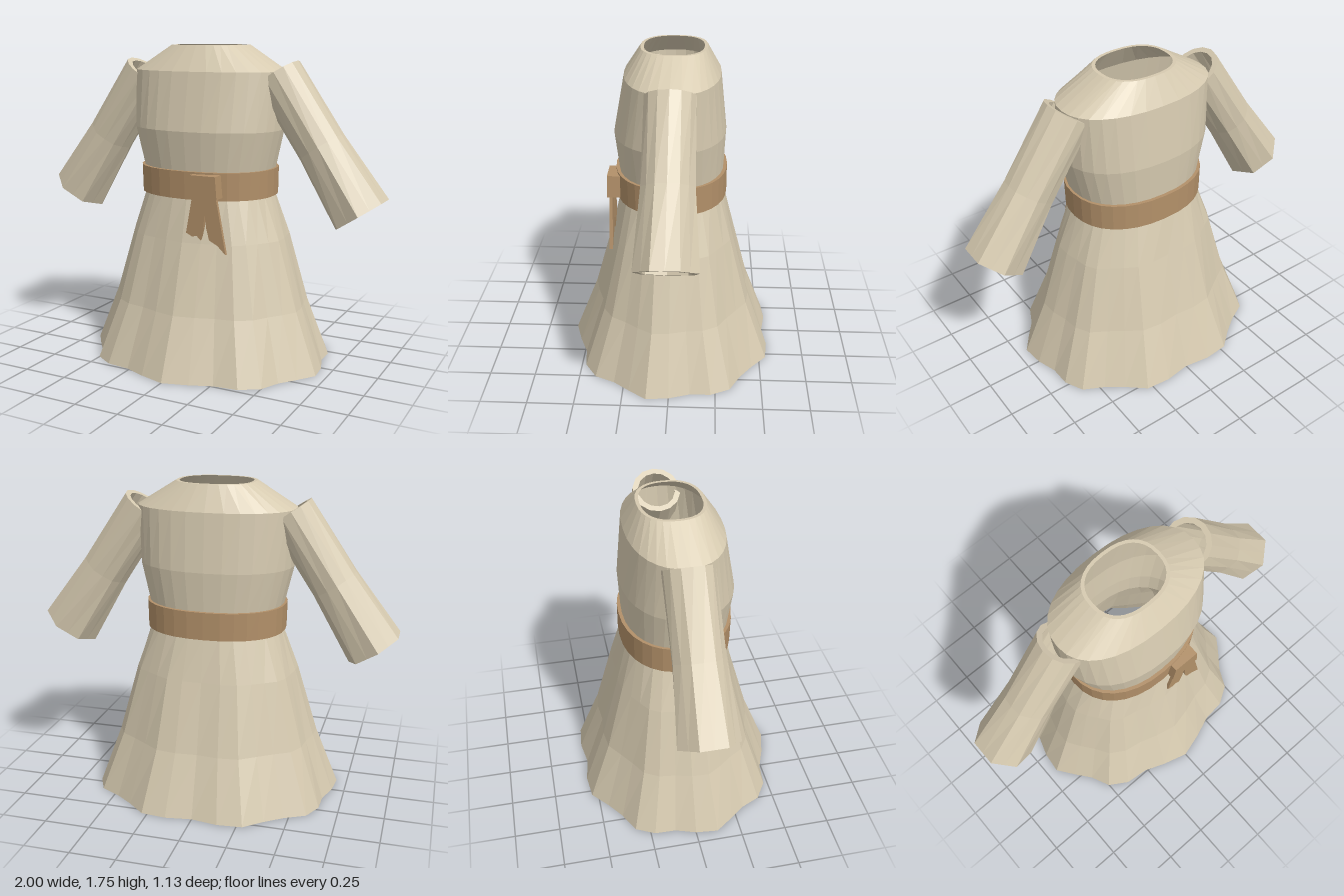
import * as THREE from 'three';

const V = (x, y, z) => new THREE.Vector3(x, y, z);

// Joins rings of points into a closed shell with flat facets: outer wall up, inner wall back down.
function loft(rings) {
  const pos = [];
  const n = rings[0].length;
  rings.forEach((ring, i) => {
    const next = rings[(i + 1) % rings.length];
    for (let j = 0; j < n; j++) {
      const k = (j + 1) % n;
      for (const p of [ring[j], next[j], ring[k], ring[k], next[j], next[k]]) pos.push(p.x, p.y, p.z);
    }
  });
  const geo = new THREE.BufferGeometry();
  geo.setAttribute('position', new THREE.Float32BufferAttribute(pos, 3));
  geo.computeVertexNormals();
  return geo;
}

// Rounded oval ring with optional cloth folds.
function oval({ y, x, z, dz = 0, fold = 0, n = 2.25 }, inset = 0, lift = 0) {
  const pts = [];
  for (let j = 0; j < 32; j++) {
    const t = (j / 32) * Math.PI * 2;
    const c = Math.cos(t), s = Math.sin(t);
    const wave = fold * Math.cos(9 * (t - Math.PI / 2)) - inset;
    const px = Math.sign(c) * Math.abs(c) ** (2 / n) * x + c * wave;
    const pz = Math.sign(s) * Math.abs(s) ** (2 / n) * z + s * wave;
    pts.push(V(px, y + lift, pz + dz));
  }
  return pts;
}

const shell = (rings, thick) => loft([
  ...rings.map(r => oval(r)),
  ...[...rings].reverse().map(r => oval(r, thick)),
]);

// Sleeve ring: round at the shoulder, seven-sided at the cuff.
function sleeveRing({ s, r, flat }, inset = 0) {
  const pts = [];
  for (let k = 0; k < 14; k++) {
    const a = (k / 14) * Math.PI * 2;
    const rad = (r - inset) * (k % 2 ? 1 : flat);
    const u = rad * Math.cos(a);
    pts.push(V(0.40 + 0.555 * s + 0.832 * u, 1.605 - 0.832 * s + 0.555 * u, rad * Math.sin(a)));
  }
  return pts;
}

export function createModel() {
  const group = new THREE.Group();
  const cloth = new THREE.MeshStandardMaterial({ color: 0xd6cab0 });
  cloth.name = 'linen';
  const leather = new THREE.MeshStandardMaterial({ color: 0xb29069 });
  leather.name = 'tan belt';

  const add = (name, geo, mat) => {
    const mesh = new THREE.Mesh(geo, mat);
    mesh.name = name;
    group.add(mesh);
    return mesh;
  };

  // Bodice and skirt in one hollow shell
  const body = [
    { y: 0.01, x: 0.68, z: 0.555, fold: 0.026, n: 2.1 },
    { y: 0.34, x: 0.56, z: 0.435, fold: 0.015, n: 2.1 },
    { y: 0.72, x: 0.45, z: 0.335, fold: 0.008 },
    { y: 0.96, x: 0.365, z: 0.28, dz: 0.005 },
    { y: 1.10, x: 0.375, z: 0.285, dz: 0.01 },
    { y: 1.31, x: 0.425, z: 0.302, dz: 0.017 },
    { y: 1.62, x: 0.435, z: 0.257, dz: 0.005 },
    { y: 1.755, x: 0.215, z: 0.177, dz: -0.003, n: 2.4 },
  ];
  add('tunicBody', shell(body, 0.018), cloth);

  // Sleeves
  const cuffToShoulder = [
    { s: 0.86, r: 0.165, flat: 0.901 },
    { s: 0.45, r: 0.136, flat: 0.95 },
    { s: 0, r: 0.132, flat: 1 },
  ];
  const sleeve = loft([
    ...cuffToShoulder.map(r => sleeveRing(r)),
    ...[...cuffToShoulder].reverse().map(r => sleeveRing(r, 0.03)),
  ]);
  add('leftSleeve', sleeve, cloth);
  add('rightSleeve', sleeve, cloth).rotation.y = Math.PI;

  // Belt
  add('belt', shell([
    { y: 0.95, x: 0.385, z: 0.302, dz: 0.008 },
    { y: 1.10, x: 0.388, z: 0.304, dz: 0.01 },
  ], 0.03), leather);

  // Knot and ragged belt ends
  const plate = (name, pts, z, depth) => {
    const shape = new THREE.Shape(pts.map(([x, y]) => new THREE.Vector2(x, y)));
    const geo = new THREE.ExtrudeGeometry(shape, { depth, bevelEnabled: false });
    add(name, geo.translate(0, 0, z), leather);
  };
  plate('beltKnot', [[0.035, 0.968], [0.125, 0.96], [0.21, 0.97], [0.2, 1.09], [0.05, 1.09]], 0.28, 0.07);
  plate('beltEndRight', [[0.06, 0.98], [0.022, 0.775], [0.06, 0.757], [0.085, 0.765], [0.108, 0.742],
    [0.125, 0.81], [0.135, 0.9], [0.14, 0.98]], 0.318, 0.018);
  plate('beltEndLeft', [[0.13, 0.98], [0.134, 0.9], [0.145, 0.81], [0.162, 0.748], [0.21, 0.725],
    [0.225, 0.71], [0.258, 0.68], [0.2, 0.98]], 0.322, 0.018);

  return group;
}
